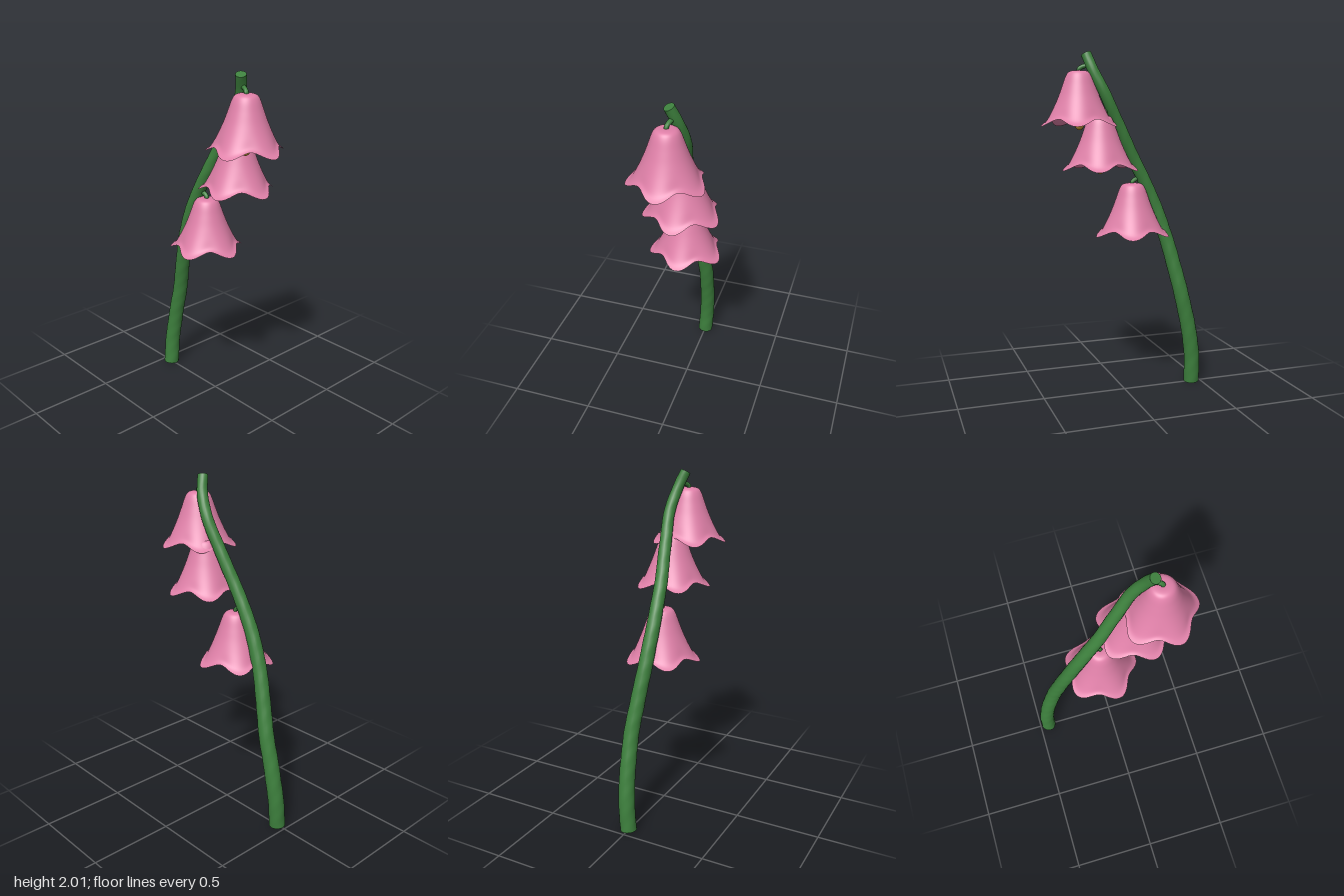
import * as THREE from 'three';
import { mergeVertices } from 'three/addons/utils/BufferGeometryUtils.js';

const green = new THREE.MeshStandardMaterial({ color: 0x3d803d });
green.name = 'stemGreen';
const pink = new THREE.MeshStandardMaterial({ color: 0xdf80a8, side: THREE.DoubleSide });
pink.name = 'petalPink';
const gold = new THREE.MeshStandardMaterial({ color: 0xc49a35 });
gold.name = 'stamenGold';

const V = (x, y, z) => new THREE.Vector3(x, y, z);

function add(parent, name, geometry, material) {
  const mesh = new THREE.Mesh(geometry, material);
  mesh.name = name;
  parent.add(mesh);
  return mesh;
}

// Share vertices across seams so the shading runs smoothly round
function smooth(geometry) {
  geometry.deleteAttribute('uv');
  geometry.deleteAttribute('normal');
  const merged = mergeVertices(geometry, 1e-5);
  merged.computeVertexNormals();
  return merged;
}

// Tapered, slightly uneven tube along the stem curve
function stemGeometry(curve, rings, sides, radiusAt) {
  const g = new THREE.TubeGeometry(curve, rings, 1, sides);
  const p = g.attributes.position;
  const v = V(0, 0, 0);
  for (let i = 0; i <= rings; i++) {
    const c = curve.getPointAt(i / rings);
    for (let j = 0; j <= sides; j++) {
      const k = i * (sides + 1) + j;
      const a = (j / sides) * Math.PI * 2;
      const bump = 1 + 0.025 * Math.sin(i * 0.9 + 2 * a) * Math.sin(i * 0.37 + a);
      v.fromBufferAttribute(p, k).sub(c).multiplyScalar(radiusAt(i / rings) * bump).add(c);
      p.setXYZ(k, v.x, v.y, v.z);
    }
  }
  return smooth(g);
}

// Bell with five flared lobes; origin at the crown
function bellGeometry() {
  const profile = new THREE.SplineCurve([
    [0.222, -0.312], [0.19, -0.285], [0.155, -0.225], [0.122, -0.155],
    [0.097, -0.09], [0.077, -0.035], [0.06, -0.009], [0.035, 0], [0, 0],
  ].map(([r, y]) => new THREE.Vector2(r, y))).getPoints(40);
  profile[40].x = 0;
  const g = new THREE.LatheGeometry(profile, 80);
  const p = g.attributes.position;
  for (let i = 0; i < p.count; i++) {
    const x = p.getX(i), y = p.getY(i), z = p.getZ(i);
    const valley = (1 - Math.cos(5 * Math.atan2(z, x))) / 2;
    const t = Math.min(1, -y / 0.312);
    const w = valley * Math.max(0, t) ** 2.5;
    const s = 1 - 0.19 * w;
    p.setXYZ(i, x * s, y + 0.04 * w, z * s);
  }
  return smooth(g);
}

export function createModel() {
  const model = new THREE.Group();
  model.name = 'bellFlowerStalk';

  // Main stem
  const curve = new THREE.CatmullRomCurve3([
    V(-0.443, 0.004, 0), V(-0.435, 0.2, -0.014), V(-0.4, 0.4, -0.021), V(-0.352, 0.6, -0.02),
    V(-0.302, 0.8, 0), V(-0.243, 1, 0.018), V(-0.163, 1.2, 0.023), V(-0.06, 1.4, 0.012),
    V(0.042, 1.6, -0.014), V(0.132, 1.78, -0.032), V(0.19, 1.9, -0.012), V(0.223, 1.995, 0.022),
  ]);
  const radiusAt = (t) => 0.048 - 0.018 * t ** 1.4;
  add(model, 'stem', stemGeometry(curve, 100, 20, radiusAt), green);

  // Stem ends
  for (const t of [0, 1]) {
    const cap = add(model, t ? 'stemTip' : 'stemBase', new THREE.CircleGeometry(radiusAt(t), 20), green);
    cap.position.copy(curve.getPointAt(t));
    const out = curve.getTangentAt(t).multiplyScalar(t ? 1 : -1);
    cap.quaternion.setFromUnitVectors(V(0, 0, 1), out);
  }

  // Bells, each with its stalk and stamen: crown position and stalk start on the stem
  const bell = bellGeometry();
  const flowers = [
    { crown: V(0.265, 1.9, 0.022), from: V(0.2, 1.925, -0.003) },
    { crown: V(0.155, 1.65, -0.024), from: V(0.075, 1.675, -0.022) },
    { crown: V(-0.055, 1.255, 0.018), from: V(-0.125, 1.28, 0.02) },
  ];
  for (const { crown, from } of flowers) {
    const flower = new THREE.Group();
    flower.name = 'flower';
    flower.position.copy(crown);
    model.add(flower);

    add(flower, 'petals', bell, pink);

    const start = from.clone().sub(crown);
    const path = new THREE.CatmullRomCurve3([
      start, V(start.x * 0.4, 0.025, start.z * 0.4), V(0, 0.008, 0), V(0, -0.012, 0),
    ]);
    add(flower, 'flowerStalk', new THREE.TubeGeometry(path, 14, 0.013, 10), green);

    const filament = add(flower, 'filament', new THREE.CylinderGeometry(0.006, 0.006, 0.28, 10), gold);
    filament.position.y = -0.145;
    const anther = add(flower, 'anther', new THREE.SphereGeometry(0.028, 20, 14), gold);
    anther.scale.y = 1.25;
    anther.position.y = -0.298;
  }
  return model;
}
